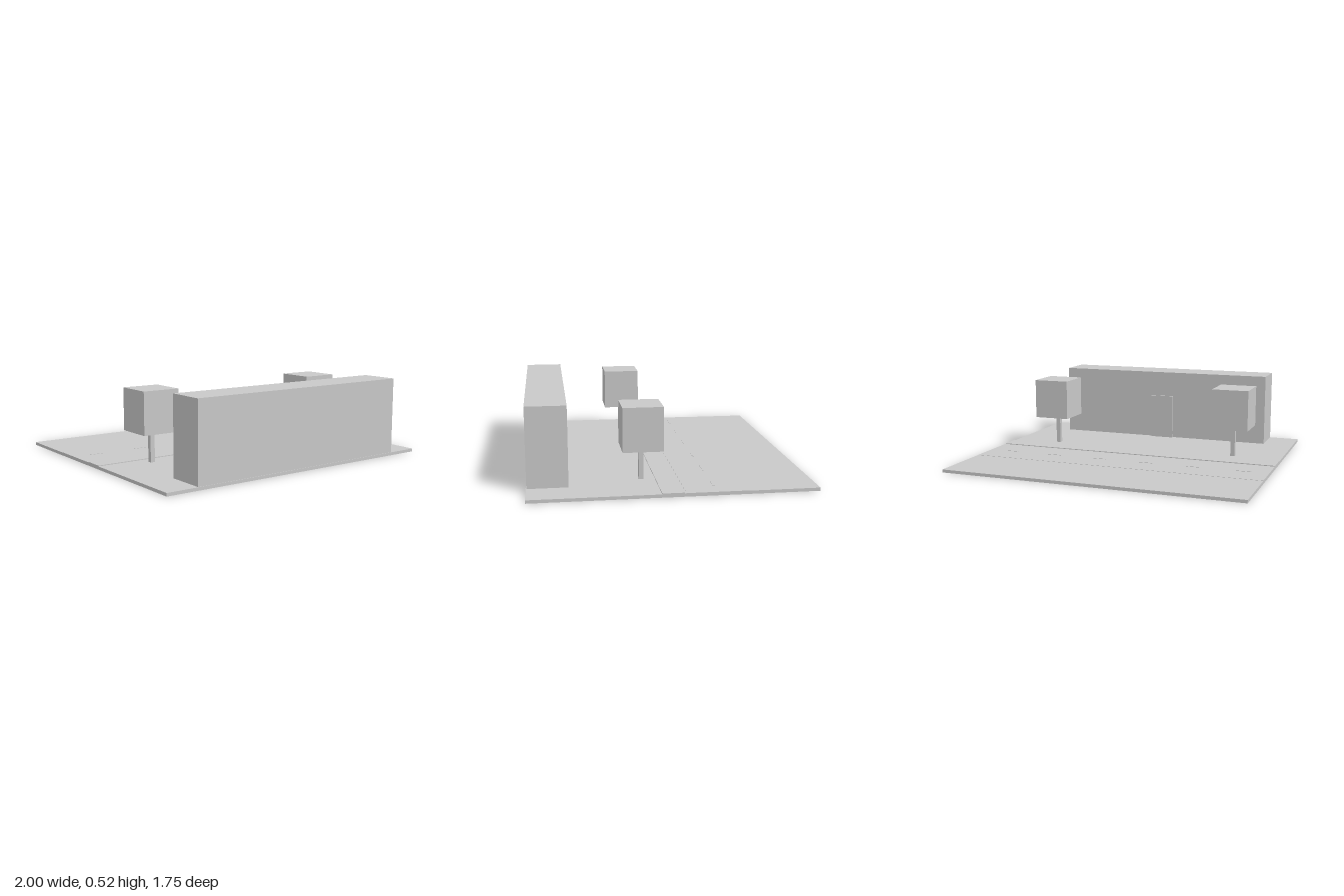
import * as THREE from 'three';

export function createModel() {
  const model = new THREE.Group();
  const grey = new THREE.MeshStandardMaterial({ color: 0xc8c8c8 });
  grey.name = 'light grey';

  // Box given by its [min, max] extent on each axis
  const box = (name, [x0, x1], [y0, y1], [z0, z1], parent = model) => {
    const mesh = new THREE.Mesh(new THREE.BoxGeometry(x1 - x0, y1 - y0, z1 - z0), grey);
    mesh.position.set((x0 + x1) / 2, (y0 + y1) / 2, (z0 + z1) / 2);
    mesh.name = name;
    parent.add(mesh);
    return mesh;
  };

  // Ground with the pavement and road laid on it
  box('ground', [-1, 1], [0, 0.02], [-0.873, 0.873]);
  box('pavement', [-1, 1], [0.015, 0.025], [-0.05, 0.083]);
  box('road', [-1, 1], [0.016, 0.0215], [-0.435, -0.06]);

  // Dashed centre line of the road
  for (let i = 0; i < 6; i++) {
    const x = (i - 2.5) * 0.335;
    box('laneDash', [x - 0.05, x + 0.05], [0.018, 0.0235], [-0.252, -0.242]);
  }

  // Building with its door on the street side
  box('building', [-0.79, 0.79], [0.02, 0.52], [0.619, 0.869]);
  box('door', [-0.085, 0.085], [0.02, 0.34], [0.6, 0.612]);

  // Pair of block trees
  for (const side of [-1, 1]) {
    const tree = new THREE.Group();
    tree.name = side > 0 ? 'leftTree' : 'rightTree';
    tree.position.set(side * 0.665, 0, 0.168);
    box('trunk', [-0.015, 0.015], [0.02, 0.22], [-0.015, 0.015], tree);
    box('foliage', [-0.125, 0.125], [0.22, 0.495], [-0.125, 0.125], tree);
    model.add(tree);
  }

  return model;
}
